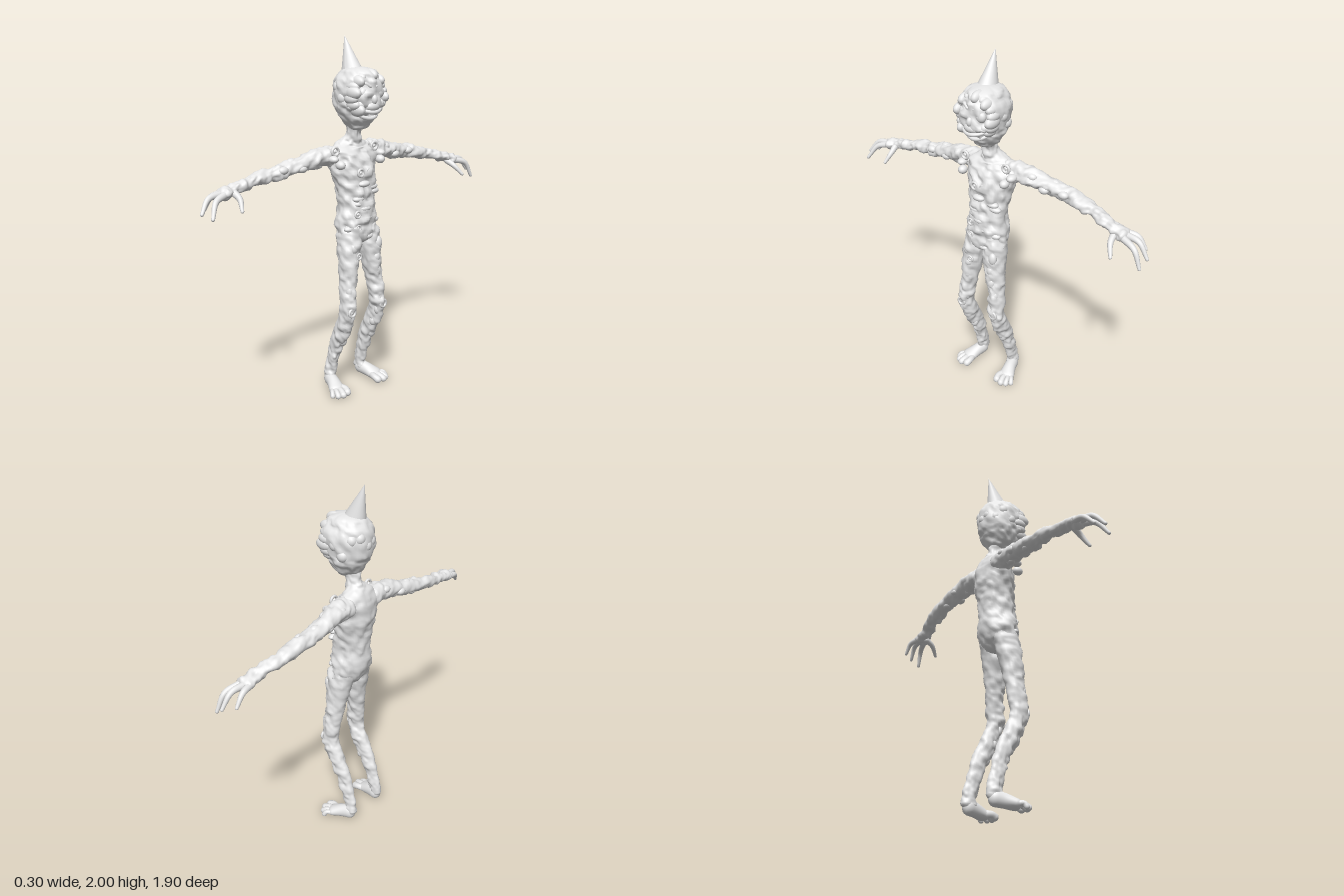
import * as THREE from 'three';

const clay = new THREE.MeshStandardMaterial({ color: 0xe7e7e7 });
clay.name = 'pale grey clay';

// Smooth seeded lumps in space, from -1 to 1
const hash = (x, y, z) => {
  const s = Math.sin(x * 127.1 + y * 311.7 + z * 74.7) * 43758.5453;
  return s - Math.floor(s);
};
function lumps(p, f) {
  const q = [p.x * f, p.y * f, p.z * f];
  const i = q.map(Math.floor);
  const w = q.map((v, k) => (v - i[k]) ** 2 * (3 - 2 * (v - i[k])));
  let sum = 0;
  for (let c = 0; c < 8; c++) {
    const d = [c & 1, (c >> 1) & 1, c >> 2];
    const weight = d.reduce((a, b, k) => a * (b ? w[k] : 1 - w[k]), 1);
    sum += weight * hash(i[0] + d[0], i[1] + d[1], i[2] + d[2]);
  }
  return sum * 2 - 1;
}

// Round-ended limb through rows of [x, y, z, radius along ref, other radius]
function limb(rows, { ref = [1, 0, 0], rough = 0, sides = 28, step = 0.009, flat = 1 } = {}) {
  const path = new THREE.CatmullRomCurve3(rows.map(r => new THREE.Vector3(r[0], r[1], r[2])));
  const size = new THREE.CatmullRomCurve3(
    rows.map(r => new THREE.Vector3(r[3], r[4] ?? r[3], 0)), false, 'catmullrom', 0.5);
  const n = Math.max(6, Math.ceil(path.getLength() / step));
  const rings = [];
  const caps = [1.55, 1.2, 0.8, 0.4];
  caps.forEach(a => rings.push([0, -a]));
  for (let i = 0; i <= n; i++) rings.push([i / n, 0]);
  [...caps].reverse().forEach(a => rings.push([1, a]));
  const pos = [], index = [];
  rings.forEach(([s, cap], i) => {
    const t = path.getTangent(s);
    const r = size.getPoint(s);
    const u = new THREE.Vector3(...ref).addScaledVector(t, -t.dot(new THREE.Vector3(...ref))).normalize();
    const v = t.clone().cross(u);
    const c = path.getPoint(s).addScaledVector(t, Math.sin(cap) * Math.min(r.x, r.y) * flat);
    for (let j = 0; j < sides; j++) {
      const a = j / sides * Math.PI * 2, k = Math.cos(cap);
      const d = u.clone().multiplyScalar(Math.cos(a) * r.x * k).addScaledVector(v, Math.sin(a) * r.y * k);
      const p = c.clone().add(d);
      d.normalize();
      if (rough) {
        const amount = rough * k * (0.85 + 0.3 * d.x);
        p.addScaledVector(d, amount * (lumps(p, 28) + 0.7 * lumps(p, 52)));
      }
      pos.push(p.x, p.y, p.z);
      if (i < rings.length - 1) {
        const b = i * sides + j, e = i * sides + (j + 1) % sides;
        index.push(b, e, b + sides, e, e + sides, b + sides);
      }
    }
  });
  const g = new THREE.BufferGeometry();
  g.setAttribute('position', new THREE.Float32BufferAttribute(pos, 3));
  g.setIndex(index);
  g.computeVertexNormals();
  return g;
}

export function createModel() {
  const model = new THREE.Group();
  model.name = 'figure';
  const add = (name, geometry) => {
    const m = new THREE.Mesh(geometry, clay);
    m.name = name;
    model.add(m);
    return m;
  };
  const blob = (name, x, y, z, rx, ry, rz) => {
    const m = add(name, new THREE.SphereGeometry(1, 16, 12));
    m.position.set(x, y, z);
    m.scale.set(rx, ry, rz);
  };
  // Sucker: raised rim around a low dome, facing +x
  const sucker = (x, y, z, r) => {
    const rim = add('sucker', new THREE.TorusGeometry(r * 0.75, r * 0.28, 8, 20));
    rim.position.set(x, y, z);
    rim.rotation.y = Math.PI / 2;
    blob('suckerCentre', x - 0.004, y, z, 0.009, r * 0.35, r * 0.35);
  };

  // Torso and neck
  add('torso', limb([
    [0.01, 0.93, 0, 0.08, 0.115], [-0.008, 1, 0, 0.1, 0.125],
    [-0.012, 1.1, 0, 0.097, 0.106], [-0.018, 1.2, 0, 0.096, 0.116], [-0.027, 1.3, 0, 0.1, 0.14],
    [-0.042, 1.38, 0, 0.085, 0.15], [-0.044, 1.425, 0, 0.062, 0.115], [-0.038, 1.448, 0, 0.05, 0.07],
    [-0.028, 1.475, 0, 0.045, 0.043], [-0.008, 1.54, 0, 0.048, 0.042]], { rough: 0.013, sides: 56, flat: 0.6 }));

  // Head with a fuller upper face and a narrowing jaw
  add('head', limb([
    [0.03, 1.528, 0, 0.055, 0.05], [0.024, 1.555, 0, 0.08, 0.078], [0.016, 1.59, 0, 0.1, 0.1],
    [0.013, 1.62, 0, 0.118, 0.112], [0.012, 1.645, 0, 0.134, 0.12], [0.01, 1.7, 0, 0.138, 0.126],
    [0.01, 1.77, 0, 0.13, 0.118], [0.01, 1.815, 0, 0.102, 0.092]], { rough: 0.012, sides: 56, flat: 0.3 }));

  // Hair tufts framing the face, sunk deep into the head
  for (let i = 0; i < 16; i++) {
    const a = -0.75 + i / 15 * (Math.PI + 1.5), h = hash(i, 2, 5);
    blob('hairTuft', 0.07 + 0.02 * h, 1.7 + Math.sin(a) * 0.103, Math.cos(a) * 0.1,
      0.045 + 0.012 * h, 0.027 + 0.008 * h, 0.028);
  }
  for (let i = 0; i < 9; i++) {
    const a = Math.PI * (0.5 + i / 8), h = hash(i, 7, 1);
    blob('hairTuft', 0.012 + Math.cos(a) * 0.112, 1.65 + 0.1 * h, Math.sin(a) * 0.1, 0.032, 0.034, 0.032);
  }

  // Face: eyes, cheeks, brows, nose, grinning lips
  for (const s of [1, -1]) {
    blob('eye', 0.118, 1.715, s * 0.053, 0.022, 0.031, 0.031);
    blob('cheek', 0.102, 1.655, s * 0.065, 0.03, 0.026, 0.028);
    add('brow', limb([[0.095, 1.752, s * 0.085, 0.008], [0.12, 1.764, s * 0.05, 0.01],
      [0.133, 1.748, s * 0.02, 0.008]], { ref: [0, 1, 0], sides: 10 }));
  }
  blob('nose', 0.138, 1.682, 0, 0.02, 0.026, 0.017);
  blob('upperJaw', 0.11, 1.645, 0, 0.045, 0.032, 0.055);
  add('upperLip', limb([[0.082, 1.642, 0.09, 0.007], [0.13, 1.623, 0.045, 0.01], [0.145, 1.617, 0, 0.011],
    [0.13, 1.623, -0.045, 0.01], [0.082, 1.642, -0.09, 0.007]], { ref: [0, 1, 0], sides: 12 }));
  add('lowerLip', limb([[0.072, 1.618, 0.085, 0.007], [0.103, 1.592, 0.045, 0.01], [0.113, 1.582, 0, 0.011],
    [0.103, 1.592, -0.045, 0.01], [0.072, 1.618, -0.085, 0.007]], { ref: [0, 1, 0], sides: 12 }));

  // Leaning pointed hat
  const cone = new THREE.ConeGeometry(0.072, 0.2, 20, 4, true);
  const cp = cone.attributes.position;
  for (let i = 0; i < cp.count; i++) {
    const h = cp.getY(i) + 0.1;
    cp.setXYZ(i, cp.getX(i) - 0.008 - h * 0.36, 1.8 + h, cp.getZ(i) * 0.82 + 0.013);
  }
  cone.computeVertexNormals();
  add('pointedHat', cone);

  // Legs and feet, mirrored
  for (const s of [1, -1]) {
    add('leg', limb([
      [0, 0.98, s * 0.06, 0.08, 0.055], [0.018, 0.88, s * 0.07, 0.074, 0.063],
      [0.036, 0.72, s * 0.09, 0.058, 0.048], [0.046, 0.6, s * 0.105, 0.052, 0.041],
      [0.05, 0.5, s * 0.112, 0.05, 0.039], [0.01, 0.4, s * 0.112, 0.05, 0.037],
      [-0.042, 0.3, s * 0.11, 0.047, 0.032], [-0.077, 0.2, s * 0.112, 0.043, 0.028],
      [-0.098, 0.12, s * 0.115, 0.041, 0.028], [-0.102, 0.07, s * 0.118, 0.042, 0.033]],
    { rough: 0.01, sides: 32, flat: 0.8 }));
    add('foot', limb([[-0.1, 0.058, s * 0.118, 0.034, 0.042], [-0.055, 0.05, s * 0.13, 0.037, 0.038],
      [0, 0.034, s * 0.148, 0.047, 0.029]], { ref: [0, 0, 1] }));
    const toes = [[0.056, 0.118, 0.022], [0.064, 0.154, 0.02], [0.053, 0.182, 0.017], [0.028, 0.202, 0.015]];
    toes.forEach(([x, z, r], i) => add('toe', limb([[-0.01, 0.034, s * (0.125 + i * 0.016), r],
      [x * 0.6, 0.036, s * (z - 0.006), r * 0.85], [x, r + 0.004, s * z, r]], { ref: [0, 0, 1], sides: 14 })));
    sucker(0.097, 0.52, s * 0.115, 0.028);
    // Loose folds down the front of the legs
    for (let i = 0; i < 8; i++) {
      const h = hash(i, s, 3), y = 0.88 - i * 0.08;
      const x = y > 0.5 ? 0.073 : 0.075 - (0.5 - y) * 0.42;
      blob('legFold', x, y, s * (0.075 + 0.02 * h + (y < 0.7 ? 0.02 : 0)), 0.022, 0.028 + 0.01 * h, 0.025);
    }
  }

  // Arms and clawed hands; fingers are [root, knuckle, tip]
  const arms = [
    {
      s: 1,
      path: [[-0.055, 1.375, 0.1, 0.06, 0.056], [-0.062, 1.377, 0.2, 0.056, 0.048],
        [-0.085, 1.337, 0.4, 0.045, 0.04], [-0.09, 1.31, 0.58, 0.038, 0.032],
        [-0.08, 1.288, 0.71, 0.034, 0.027], [-0.065, 1.272, 0.79, 0.048, 0.028]],
      fingers: [[[-0.095, 1.27, 0.79], [-0.09, 1.26, 0.85], [-0.068, 1.21, 0.9]],
        [[-0.07, 1.272, 0.8], [-0.058, 1.262, 0.88], [-0.03, 1.2, 0.935]],
        [[-0.045, 1.27, 0.8], [-0.022, 1.25, 0.86], [0.018, 1.18, 0.905]],
        [[-0.05, 1.27, 0.74], [-0.01, 1.245, 0.735], [0.03, 1.195, 0.75]]],
    },
    {
      s: -1,
      path: [[-0.055, 1.375, -0.1, 0.06, 0.056], [-0.068, 1.378, -0.2, 0.056, 0.048],
        [-0.09, 1.34, -0.4, 0.045, 0.04], [-0.085, 1.308, -0.58, 0.04, 0.033],
        [-0.06, 1.272, -0.71, 0.036, 0.028], [-0.05, 1.247, -0.8, 0.048, 0.028]],
      fingers: [[[-0.08, 1.245, -0.8], [-0.095, 1.235, -0.86], [-0.1, 1.18, -0.905]],
        [[-0.058, 1.245, -0.81], [-0.05, 1.235, -0.89], [-0.042, 1.165, -0.945]],
        [[-0.03, 1.24, -0.81], [-0.005, 1.215, -0.89], [0.008, 1.13, -0.935]],
        [[-0.035, 1.24, -0.76], [0.012, 1.215, -0.77], [0.055, 1.165, -0.8]]],
    },
  ];
  for (const { s, path, fingers } of arms) {
    add('arm', limb(path, { rough: 0.011, sides: 32 }));
    fingers.forEach((f, i) => add(i < 3 ? 'finger' : 'thumb',
      limb(f.map((p, k) => [...p, [0.019, 0.015, 0.009][k]]), { ref: i < 3 ? [1, 0, 0] : [0, 0, 1], sides: 12 })));
    // Ragged sleeve lumps, sunk into the arm
    for (let i = 0; i < 9; i++) {
      const a = i * 2.4, z = 0.14 + i * 0.038, r = 0.042 - i * 0.0012;
      blob('sleeveLump', -0.062 - i * 0.003 + Math.cos(a) * r, 1.38 - i * 0.0062 + Math.sin(a) * (r - 0.008),
        s * z, 0.023, 0.021, 0.03);
    }
    blob('shoulderFrill', 0.005, 1.37, s * 0.165, 0.035, 0.02, 0.026);
    blob('shoulderFrill', 0.035, 1.34, s * 0.14, 0.03, 0.024, 0.025);
  }

  // Suckers and folds on the front of the body
  [[0.004, 1.41, 0.15, 0.028], [0.004, 1.41, -0.125, 0.028], [0.072, 1.29, 0.03, 0.026], [0.072, 1.29, -0.025, 0.022],
    [0.076, 1.065, 0.055, 0.023], [0.08, 0.99, 0.055, 0.021], [0.085, 0.83, 0.055, 0.021]]
    .forEach(p => sucker(...p));
  for (let i = 0; i < 12; i++) {
    const z = (hash(i, 4, 9) - 0.5) * 0.17;
    blob('bodyFold', 0.07 - Math.abs(z) * 0.35, 0.93 + i * 0.027, z, 0.024, 0.018, 0.038);
  }
  return model;
}
